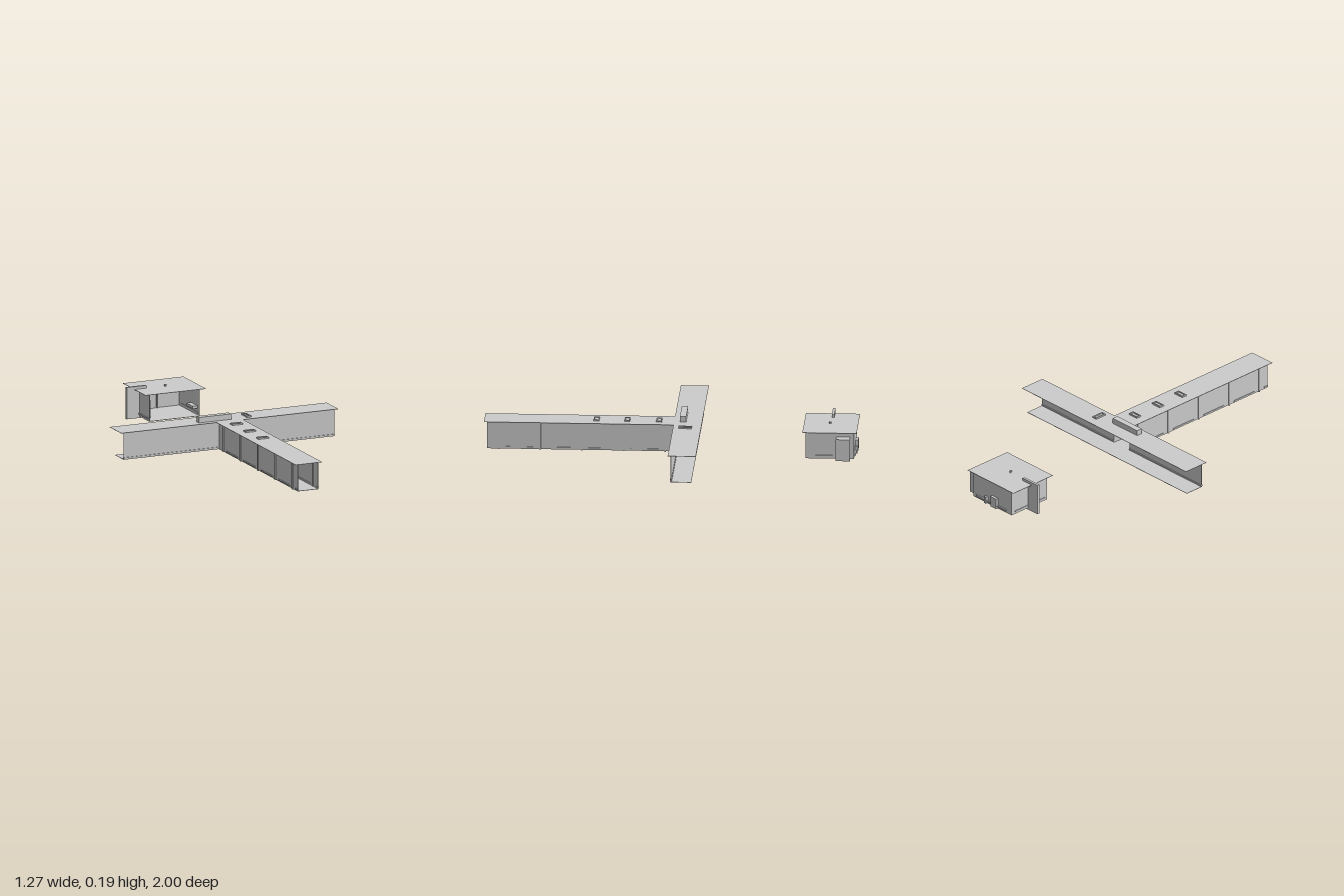
import * as THREE from 'three';

export function createModel() {
  const root = new THREE.Group();
  root.name = 'corridorsAndRoom';
  const mat = new THREE.MeshStandardMaterial({ color: 0xcccccc, side: THREE.DoubleSide });
  mat.name = 'pale grey';

  const group = (name) => {
    const g = new THREE.Group();
    g.name = name;
    root.add(g);
    return g;
  };
  // Box given by its min and max along each axis
  const box = (parent, name, x0, x1, y0, y1, z0, z1) => {
    const m = new THREE.Mesh(new THREE.BoxGeometry(x1 - x0, y1 - y0, z1 - z0), mat);
    m.position.set((x0 + x1) / 2, (y0 + y1) / 2, (z0 + z1) / 2);
    m.name = name;
    parent.add(m);
    return m;
  };
  const T = 0.002; // sheet thickness
  const F = 0.01;  // floor level
  const R = 0.16;  // roof level

  // Cross corridor: roof, floor and one wall with an opening for the long corridor
  const cross = group('crossCorridor');
  box(cross, 'crossRoof', -0.64, 0.635, R - T, R, -0.165, -0.015);
  box(cross, 'crossFloor', -0.62, 0.62, F - T, F, -0.14, -0.03);
  for (const s of [-1, 1]) {
    const [a, b] = s < 0 ? [-0.62, -0.06] : [0.06, 0.62];
    box(cross, 'crossWall', a, b, F, R, -0.03 - T, -0.03);
    box(cross, 'crossSkirtingFront', a, b, 0.012, 0.02, -0.03, -0.026);
    box(cross, 'crossSkirtingBack', a, b, 0.012, 0.02, -0.036, -0.032);
  }

  // Long corridor, open at its front end
  const long = group('longCorridor');
  box(long, 'longRoof', -0.08, 0.075, R - T, R, -0.015, 1);
  box(long, 'longFloor', -0.06, 0.06, F - T, F, -0.03, 0.985);
  const posts = [0.92, 0.7, 0.477, 0.252, 0.03];
  for (const s of [-1, 1]) {
    const span = (name, a, b, y0, y1, z0, z1) =>
      box(long, name, Math.min(s * a, s * b), Math.max(s * a, s * b), y0, y1, z0, z1);
    span('longWall', 0.058, 0.06, F, R, -0.03, 0.985);
    for (const z of posts) span('wallPost', 0.054, 0.065, 0.006, R - T, z - 0.004, z + 0.004);
    // Skirting strips between the posts
    for (let i = 0; i < posts.length - 1; i++) {
      span('longSkirting', 0.055, 0.064, 0.014, 0.021, posts[i + 1] + 0.037, posts[i] - 0.037);
    }
    span('longSkirtingEnd', 0.055, 0.064, 0.014, 0.021, 0.958, 0.985);
  }

  // Framed roof hatches
  const hatches = group('roofHatches');
  const hatch = (x, z, w, d) => {
    const e = 0.006, y = R + 0.008;
    for (const s of [-1, 1]) {
      const cx = x + s * (w - e) / 2, cz = z + s * (d - e) / 2;
      box(hatches, 'hatchSideFrame', cx - e / 2, cx + e / 2, R, y, z - d / 2, z + d / 2);
      box(hatches, 'hatchEndFrame', x - w / 2 + e, x + w / 2 - e, R, y, cz - e / 2, cz + e / 2);
    }
    box(hatches, 'hatchPane', x - w / 2 + e, x + w / 2 - e, R, R + 0.003, z - d / 2 + e, z + d / 2 - e);
  };
  for (const z of [0.4, 0.235, 0.065]) hatch(0, z, 0.06, 0.03);
  hatch(0.125, -0.08, 0.028, 0.07);

  // Duct on the cross corridor roof
  box(root, 'roofDuct', -0.17, 0.02, R, 0.19, -0.08, -0.046);

  // Separate room, open at the front
  const room = group('room');
  box(room, 'roomRoof', -0.18, 0.175, R - T, R, -1, -0.71);
  box(room, 'roomFloor', -0.15, 0.145, F - T, F, -0.985, -0.725);
  box(room, 'roomLeftWall', 0.143, 0.145, F, R, -0.985, -0.725);
  box(room, 'roomRightWall', -0.15, -0.148, F, R, -0.985, -0.725);
  box(room, 'roomBackWall', -0.15, 0.145, F, R, -0.985, -0.983);
  for (const x of [-0.15, 0.145]) {
    box(room, 'roomSkirting', x - 0.005, x + 0.005, 0.02, 0.027, -0.96, -0.74);
  }
  // Fin passing through the right wall
  box(room, 'sideFin', -0.225, -0.11, 0, 0.175, -0.866, -0.852);
  // Alcove on the left wall, open underneath
  box(room, 'alcoveTop', 0.145, 0.195, 0.128, 0.13, -0.965, -0.89);
  box(room, 'alcoveSide', 0.193, 0.195, F, 0.13, -0.965, -0.89);
  for (const z of [-0.965, -0.892]) box(room, 'alcoveEnd', 0.145, 0.195, F, 0.13, z, z + T);

  // Fittings on the back wall
  box(room, 'backCabinet', -0.045, 0, F, 0.07, -1, -0.985);
  box(room, 'backLedge', -0.11, 0.12, 0.02, 0.028, -0.993, -0.985);
  box(room, 'backPipe', 0.035, 0.05, F, 0.05, -0.998, -0.985);

  // Fittings inside the room
  box(room, 'innerDoor', -0.045, 0, F, 0.105, -0.983, -0.978);
  box(room, 'wallUnit', -0.05, 0.01, 0.11, R - T, -0.983, -0.96);
  box(room, 'innerPost', 0.008, 0.014, F, R - T, -0.983, -0.975);
  box(room, 'innerLocker', -0.148, -0.115, F, 0.11, -0.83, -0.79);
  box(room, 'innerBench', 0.115, 0.143, 0.045, 0.06, -0.83, -0.75);

  // Small stub on the room roof
  const stub = new THREE.Mesh(new THREE.CylinderGeometry(0.006, 0.006, 0.012, 10), mat);
  stub.position.set(0, R + 0.004, -0.85);
  stub.name = 'roofStub';
  room.add(stub);

  return root;
}
